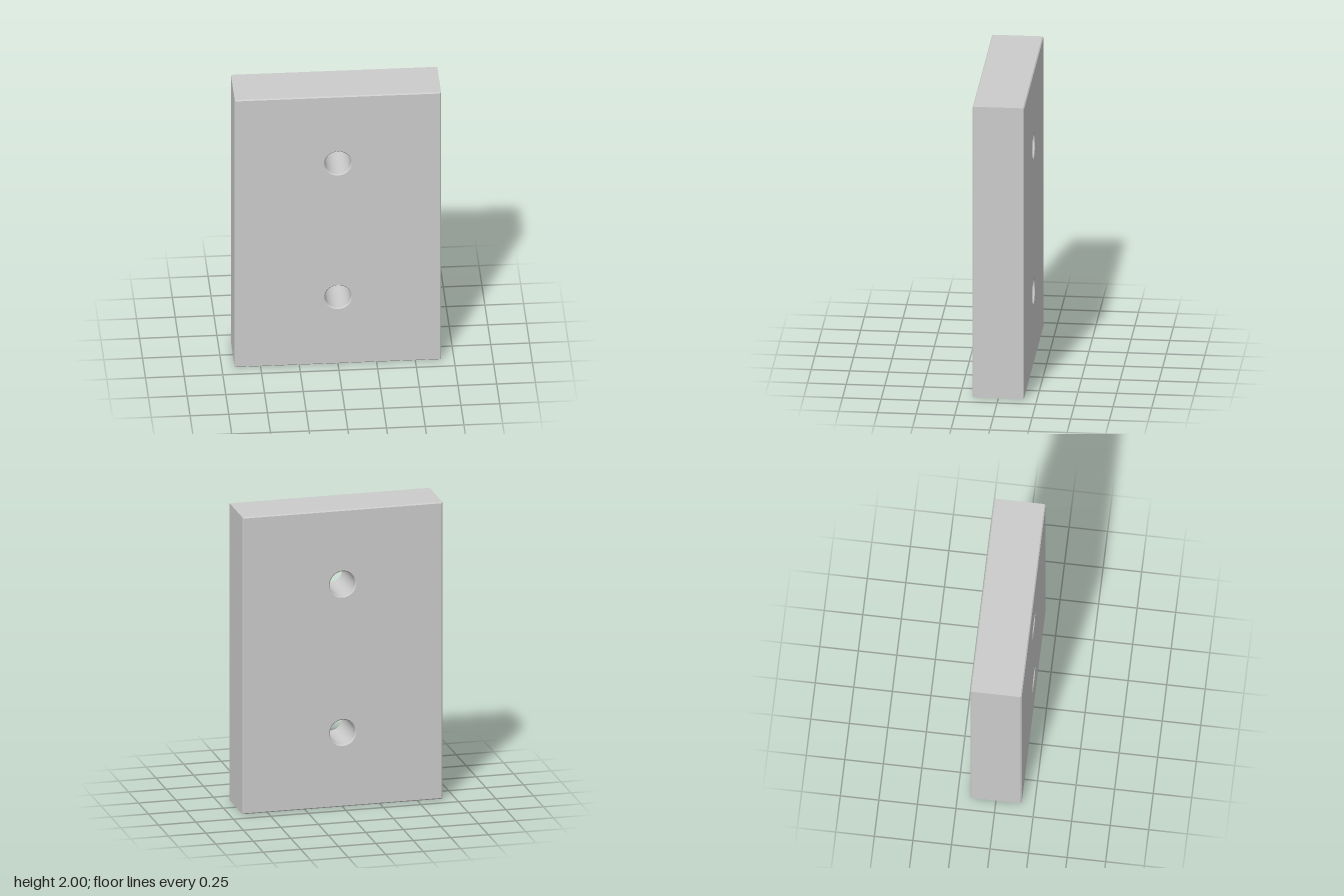
import * as THREE from 'three';
import { toCreasedNormals } from 'three/addons/utils/BufferGeometryUtils.js';

const WIDTH = 1.333, HEIGHT = 2, DEPTH = 0.333;
const HOLE_RADIUS = 0.084, CHAMFER = 0.007;

export function createModel() {
  const group = new THREE.Group();
  group.name = 'mountingPlate';

  // Rectangular outline standing on the ground
  const w = WIDTH / 2;
  const outline = new THREE.Shape([
    new THREE.Vector2(-w, 0),
    new THREE.Vector2(w, 0),
    new THREE.Vector2(w, HEIGHT),
    new THREE.Vector2(-w, HEIGHT),
  ]);

  // Two through holes on the centre line
  for (const y of [0.5, 1.5]) {
    outline.holes.push(new THREE.Path().absarc(0, y, HOLE_RADIUS, 0, Math.PI * 2, true));
  }

  // Thick plate, chamfered inward at its edges and outward at the hole rims
  const geometry = new THREE.ExtrudeGeometry(outline, {
    depth: DEPTH - 2 * CHAMFER,
    curveSegments: 48,
    bevelEnabled: true,
    bevelThickness: CHAMFER,
    bevelSize: CHAMFER,
    bevelOffset: -CHAMFER,
    bevelSegments: 1,
  });
  geometry.translate(0, 0, CHAMFER - DEPTH / 2);

  const plate = new THREE.Mesh(
    toCreasedNormals(geometry, 0.5),
    new THREE.MeshStandardMaterial({ color: 0xcccccc })
  );
  plate.name = 'plate';
  group.add(plate);
  return group;
}
